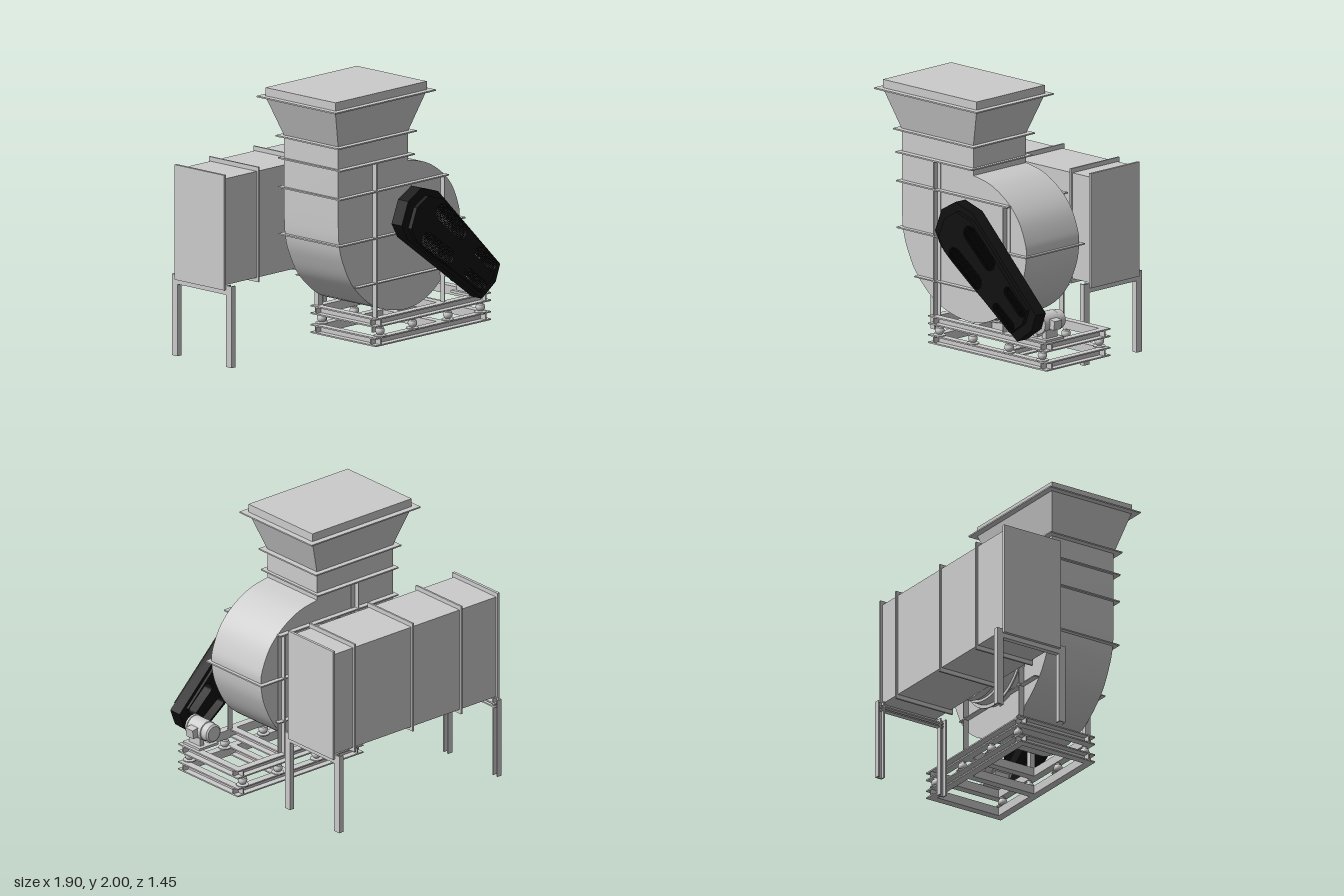
import * as THREE from 'three';
import { toCreasedNormals } from 'three/addons/utils/BufferGeometryUtils.js';

const grey = new THREE.MeshStandardMaterial({ color: 0xcccccc });
const black = new THREE.MeshStandardMaterial({ color: 0x101010 });

export function createModel() {
  const model = new THREE.Group();

  const add = (name, geo, pos = [0, 0, 0], mat = grey, parent = model) => {
    const m = new THREE.Mesh(geo, mat);
    m.name = name;
    m.position.set(...pos);
    parent.add(m);
    return m;
  };
  // Box given by its extents on each axis
  const box = (name, [x0, x1], [y0, y1], [z0, z1], mat = grey) =>
    add(name, new THREE.BoxGeometry(x1 - x0, y1 - y0, z1 - z0),
      [(x0 + x1) / 2, (y0 + y1) / 2, (z0 + z1) / 2], mat);
  const extrude = (shape, depth, curveSegments = 8) =>
    toCreasedNormals(new THREE.ExtrudeGeometry(shape, { depth, bevelEnabled: false, curveSegments }), 0.5);
  const lathe = (pts, seg = 32) =>
    toCreasedNormals(new THREE.LatheGeometry(pts.map(p => new THREE.Vector2(...p)), seg), 0.5);
  // C-section beam along z, web on the inside and flanges towards +x
  const channel = (w, h, len, t = 0.01) => {
    const s = new THREE.Shape([[0, 0], [w, 0], [w, t], [t, t], [t, h - t], [w, h - t], [w, h], [0, h]]
      .map(p => new THREE.Vector2(...p)));
    const g = new THREE.ExtrudeGeometry(s, { depth: len, bevelEnabled: false });
    return g.translate(-w / 2, -h / 2, -len / 2);
  };

  // Fan scroll with its neck
  const scroll = new THREE.Shape();
  scroll.moveTo(-0.55, 1.645);
  scroll.lineTo(-0.55, 1.12);
  scroll.splineThru([
    [-0.54, 0.93], [-0.495, 0.78], [-0.39, 0.6], [-0.18, 0.43], [0.1, 0.36], [0.33, 0.4], [0.53, 0.545],
    [0.65, 0.757], [0.685, 0.93], [0.67, 1.04], [0.6, 1.19], [0.48, 1.31], [0.325, 1.395], [0.16, 1.43],
  ].map(p => new THREE.Vector2(...p)));
  scroll.lineTo(0.16, 1.645);
  add('fanScroll', extrude(scroll, 0.53, 5), [0, 0, 0.01]);

  // Flaring outlet hood: a box whose top is widened
  const hood = new THREE.BoxGeometry(1, 0.29, 1);
  const hp = hood.attributes.position;
  for (let i = 0; i < hp.count; i++) {
    const top = hp.getY(i) > 0;
    hp.setX(i, hp.getX(i) * (top ? 0.93 : 0.71));
    hp.setZ(i, hp.getZ(i) * (top ? 0.685 : 0.53));
  }
  hood.computeVertexNormals();
  add('outletHood', hood, [-0.195, 1.79, 0.276]);
  box('outletCollar', [-0.66, 0.27], [1.935, 2], [-0.066, 0.62]);
  box('outletFlange', [-0.705, 0.315], [1.93, 1.94], [-0.11, 0.665]);
  box('neckUpperFlange', [-0.595, 0.205], [1.64, 1.65], [-0.03, 0.585]);
  box('neckLowerFlange', [-0.57, 0.185], [1.475, 1.485], [-0.03, 0.585]);
  box('scrollSplitFlange', [-0.57, 0.71], [0.925, 0.935], [-0.025, 0.575]);

  // Angle stiffeners on both scroll faces
  for (const [z0, z1, plate] of [[0.54, 0.58, 0.541], [-0.03, 0.01, 0.005]]) {
    box('upperStiffener', [-0.57, 0.535], [1.265, 1.275], [z0, z1]);
    box('lowerStiffener', [-0.39, 0.55], [0.6, 0.608], [z0, z1]);
    for (const [x, top] of [[-0.2, 1.48], [0.49, 1.27]]) {
      box('uprightWeb', [x, x + 0.008], [0.355, top], [z0, z1]);
      box('uprightPlate', [x, x + 0.04], [0.355, top], [plate, plate + 0.006]);
    }
  }
  box('leftEdgeStiffener', [-0.57, -0.55], [1.265, 1.275], [-0.03, 0.58]);

  // Round flexible inlet with stepped rings
  const inlet = add('inletRing', lathe([[0.3, -0.21], [0.335, -0.21], [0.335, -0.155], [0.32, -0.155], [0.32, -0.12],
    [0.34, -0.12], [0.34, -0.05], [0.365, -0.05], [0.365, -0.04], [0.34, -0.04], [0.34, 0.01], [0.3, 0.01]], 48),
    [0.09, 0.915, 0]);
  inlet.rotation.x = Math.PI / 2;

  // Inlet box, its flanges and leg frames
  box('inletBox', [-0.94, 0.595], [0.59, 1.36], [-0.66, -0.205]);
  for (const [x, t] of [[-0.943, 0.022], [-0.597, 0.014], [-0.145, 0.014], [0.4, 0.014], [0.597, 0.02]])
    box('inletBoxFlange', [x - t / 2, x + t / 2], [0.558, 1.392], [-0.675, -0.19]);
  for (const [x, turn] of [[-0.913, 0], [0.568, Math.PI]]) {
    for (const z of [-0.163, -0.693]) {
      const leg = add('inletBoxLeg', channel(0.04, 0.055, 0.59), [x, 0.295, z]);
      leg.rotation.set(Math.PI / 2, 0, turn);
    }
    add('legCrossBar', channel(0.04, 0.035, 0.53), [x, 0.54, -0.428]).rotation.y = turn;
  }

  // Two-tier base frame of channels
  for (const y of [0.185, 0.323]) {
    for (const s of [1, -1]) {
      add('baseLongBeam', channel(0.058, 0.064, 1.175), [0.3575, y, 0.28 + s * 0.291]).rotation.y = -s * Math.PI / 2;
      add('baseEndBeam', channel(0.058, 0.064, 0.64), [0.3575 + s * 0.5585, y, 0.28]).rotation.y = s > 0 ? 0 : Math.PI;
    }
    add('baseCrossBeam', channel(0.058, 0.064, 0.53), [0.475, y, 0.28]);
  }
  // Vibration isolators between the tiers
  const isolator = lathe([[0, 0], [0.045, 0], [0.045, 0.008], [0.02, 0.012], [0.032, 0.028], [0.034, 0.042],
    [0.028, 0.06], [0.018, 0.066], [0.018, 0.076], [0, 0.076]], 20);
  for (const x of [-0.15, 0.18, 0.54, 0.87])
    for (const z of [0.565, -0.005]) add('isolator', isolator, [x, 0.215, z]);

  // Belt guard: full-outline body plus a smaller, deeper core, both slotted
  const outline = [[-0.066, 1.02], [-0.008, 0.915], [0.75, 0.355], [0.89, 0.455], [0.935, 0.577],
    [0.305, 1.21], [0.135, 1.262], [0, 1.185]];
  const slots = [[0.31, 1.065, 0.5, 0.89, 0.06], [0.16, 0.885, 0.37, 0.73, 0.058],
    [0.69, 0.71, 0.82, 0.59, 0.04], [0.575, 0.575, 0.72, 0.465, 0.036]];
  const guardShape = k => {
    const s = new THREE.Shape(outline.map(([x, y]) =>
      new THREE.Vector2(0.44 + (x - 0.44) * k, 0.8 + (y - 0.8) * k)));
    for (const [x0, y0, x1, y1, r] of slots) {
      const a = Math.atan2(y1 - y0, x1 - x0);
      const h = new THREE.Path();
      h.absarc(x0, y0, r, a + Math.PI / 2, a + Math.PI * 1.5);
      h.absarc(x1, y1, r, a - Math.PI / 2, a + Math.PI / 2);
      h.closePath();
      s.holes.push(h);
    }
    return s;
  };
  add('beltGuardBody', extrude(guardShape(1), 0.1), [0, 0, 0.597], black);
  add('beltGuardCore', extrude(guardShape(0.87), 0.153), [0, 0, 0.576], black);

  // Wire mesh across each guard slot
  for (const [x0, y0, x1, y1, r] of slots) {
    const mesh = new THREE.Group();
    mesh.name = 'guardMesh';
    mesh.position.set((x0 + x1) / 2, (y0 + y1) / 2, 0.72);
    mesh.rotation.z = Math.atan2(y1 - y0, x1 - x0);
    model.add(mesh);
    const half = Math.hypot(x1 - x0, y1 - y0) / 2, step = 0.011, wire = 0.004;
    for (let v = -r + step / 2; v < r; v += step)
      add('longWire', new THREE.BoxGeometry(2 * (half + Math.sqrt(r * r - v * v)), wire, wire), [0, v, 0], black, mesh);
    for (let u = -half - r + step / 2; u < half + r; u += step) {
      const d = Math.max(0, Math.abs(u) - half);
      add('crossWire', new THREE.BoxGeometry(wire, 2 * Math.sqrt(r * r - d * d), wire), [u, 0, 0], black, mesh);
    }
  }

  // Fan shaft and guard brackets
  add('fanShaft', new THREE.CylinderGeometry(0.035, 0.035, 0.08, 24), [0.1, 0.96, 0.57]).rotation.x = Math.PI / 2;
  for (const [x, y] of [[0.1, 1.04], [0.38, 0.7], [0.5, 0.56]])
    box('guardBracket', [x - 0.015, x + 0.015], [y - 0.015, y + 0.015], [0.535, 0.6]);

  // Drive motor with fan cover, feet and terminal box
  const motor = add('motor', lathe([[0, -0.13], [0.055, -0.13], [0.068, -0.12], [0.068, -0.065], [0.074, -0.062],
    [0.074, 0.075], [0.078, 0.078], [0.078, 0.095], [0.06, 0.1], [0.02, 0.102], [0.02, 0.16], [0, 0.16]]),
    [0.828, 0.478, 0.478]);
  motor.rotation.x = Math.PI / 2;
  const terminal = box('terminalBox', [0.885, 0.942], [0.44, 0.508], [0.445, 0.52]);
  terminal.rotation.z = -0.15;
  for (const x of [0.785, 0.87])
    box('motorFoot', [x - 0.018, x + 0.018], [0.37, 0.43], [0.43, 0.55]);
  box('motorPlate', [0.74, 0.92], [0.353, 0.372], [0.4, 0.58]);

  return model;
}
